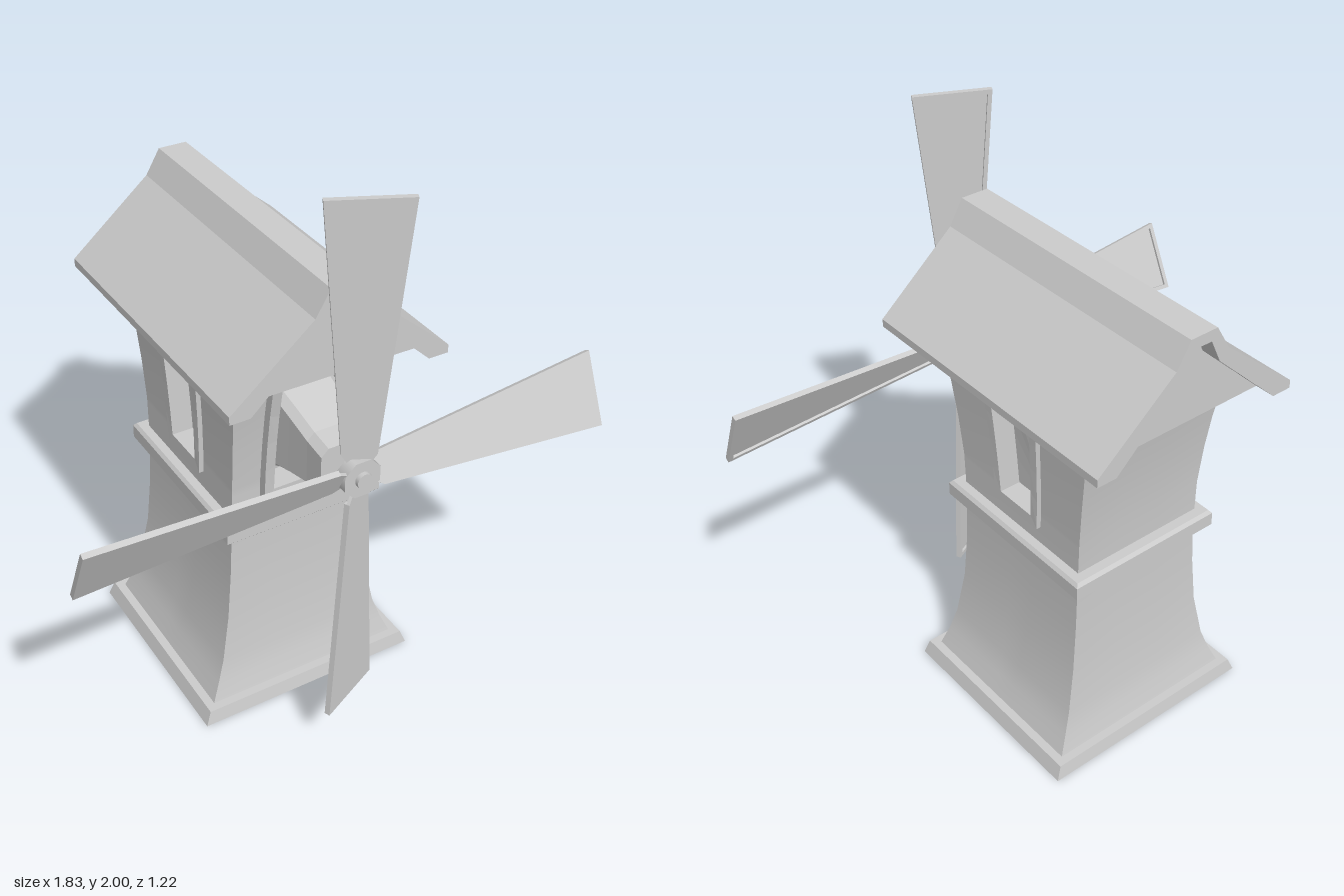
import * as THREE from 'three';

const V = (x, y, z) => new THREE.Vector3(x, y, z);
const grey = new THREE.MeshStandardMaterial({ color: 0xcccccc });
const TOWER_Z = -0.08;

// Tower outline: [height, half width, half depth]
const PROFILE = [
  [0.05, 0.36, 0.35], [0.12, 0.33, 0.332], [0.2, 0.303, 0.318], [0.37, 0.272, 0.302], [0.55, 0.257, 0.296],
  [0.72, 0.25, 0.294], [0.9, 0.249, 0.3], [1.05, 0.254, 0.316], [1.18, 0.261, 0.335], [1.31, 0.27, 0.36],
];

function halfAt(y, col) {
  let i = 0;
  while (i < PROFILE.length - 2 && y > PROFILE[i + 1][0]) i++;
  const a = PROFILE[i], b = PROFILE[i + 1];
  return a[col] + (b[col] - a[col]) * (y - a[0]) / (b[0] - a[0]);
}

// Point on tower wall k (0 front, 1 left, 2 back, 3 right), u across, out along the normal
function wallPoint(k, u, y, out = 0) {
  const p = V(u, y, halfAt(y, k % 2 ? 1 : 2) + out);
  return p.applyAxisAngle(V(0, 1, 0), k * Math.PI / 2).add(V(0, 0, TOWER_Z));
}

function named(name, geometry, material = grey) {
  const m = new THREE.Mesh(geometry, material);
  m.name = name;
  return m;
}

// Flat-faced skin over a list of rings, with fans closing the ends
function loft(rings, capStart = true) {
  const pts = [];
  const n = rings[0].length;
  for (let i = 0; i < rings.length - 1; i++) {
    for (let j = 0; j < n; j++) {
      const a = rings[i][j], b = rings[i][(j + 1) % n], c = rings[i + 1][(j + 1) % n], d = rings[i + 1][j];
      pts.push(a, b, c, a, c, d);
    }
  }
  const first = rings[0], last = rings[rings.length - 1];
  for (let j = 1; j < n - 1; j++) {
    pts.push(last[0], last[j], last[j + 1]);
    if (capStart) pts.push(first[0], first[j + 1], first[j]);
  }
  const g = new THREE.BufferGeometry().setFromPoints(pts);
  g.computeVertexNormals();
  return g;
}

// Stack of rectangles around the tower axis: [height, half width, half depth]
function rectStack(rows) {
  return loft(rows.map(([y, x, z]) =>
    [[x, z], [x, -z], [-x, -z], [-x, z]].map(([a, b]) => V(a, y, b + TOWER_Z))));
}

// Wall of the tower, smooth along its height, with an optional window opening
function wall(k, win) {
  const ys = PROFILE.map(r => r[0]);
  if (win) ys.push(win.y0, win.y1);
  ys.sort((a, b) => a - b);
  const pts = [], idx = [];
  ys.forEach((y, i) => {
    const h = halfAt(y, k % 2 ? 2 : 1);
    const w = win ? win.half(y) : h / 3;
    for (const u of [-h, -w, w, h]) pts.push(wallPoint(k, u, y));
    if (i === 0) return;
    const mid = (y + ys[i - 1]) / 2;
    for (let c = 0; c < 3; c++) {
      if (win && c === 1 && mid > win.y0 && mid < win.y1) continue;
      const a = (i - 1) * 4 + c;
      idx.push(a, a + 1, a + 5, a, a + 5, a + 4);
    }
  });
  const g = new THREE.BufferGeometry().setFromPoints(pts);
  g.setIndex(idx);
  g.computeVertexNormals();
  return g;
}

// Raised window surround with a recessed pane
function windowFrame(k, win) {
  const ring = (dx, dBottom, dTop, out) => {
    const pts = [], n = 4, y0 = win.y0 - dBottom, y1 = win.y1 + dTop;
    for (let i = 0; i <= n; i++) {
      const y = y0 + (y1 - y0) * i / n;
      pts.push(wallPoint(k, win.half(y) + dx, y, out));
    }
    for (let i = n; i >= 0; i--) {
      const y = y0 + (y1 - y0) * i / n;
      pts.push(wallPoint(k, -win.half(y) - dx, y, out));
    }
    return pts;
  };
  const b = win.border;
  return loft([ring(b, 0.037, 0.025, -0.005), ring(b, 0.037, 0.025, win.out),
    ring(0, 0, 0, win.out), ring(0, 0, 0, -0.06)], false);
}

// Gabled roof shell and the gable filling
function addRoof(group) {
  const outer = [[0.38, 1.34], [0.38, 1.368], [0.1, 1.605], [0.05, 1.69]];
  const inner = [[0.31, 1.34], [0.068, 1.57], [0.03, 1.652]];
  const flip = list => list.map(([x, y]) => [-x, y]).reverse();
  const shape = list => new THREE.Shape(list.map(([x, y]) => new THREE.Vector2(x, y)));
  const extrude = (list, z0, z1) =>
    new THREE.ExtrudeGeometry(shape(list), { depth: z1 - z0, bevelEnabled: false }).translate(0, 0, z0);
  group.add(named('roof', extrude([...outer, ...flip(outer), ...flip(inner).reverse(), ...inner.slice().reverse()], -0.61, 0.45)));
  group.add(named('gable', extrude([...inner, ...flip(inner)], -0.54, 0.38)));
}

// Flaring shaft housing with chamfered corners: [z, bottom, top, half width]
function housing() {
  const c = 0.025;
  return loft([[0.17, 0.91, 1.265, 0.112], [0.24, 0.945, 1.245, 0.11], [0.32, 0.965, 1.22, 0.105],
    [0.42, 0.985, 1.188, 0.1], [0.5, 0.992, 1.177, 0.1]].map(([z, b, t, h]) => [
    [h, b + c], [h, t - c], [h - c, t], [c - h, t], [-h, t - c], [-h, b + c], [c - h, b], [h - c, b],
  ].map(([x, y]) => V(x, y, z))));
}

// One sail: thin tapered plate with a raised rim on its back
function sail() {
  const g = new THREE.Group();
  g.name = 'sail';
  const stations = [[0.04, 0.03], [0.08, 0.055], [0.915, 0.127]];
  const bar = (rows, z0, z1) => loft(rows.map(([x, y0, y1]) =>
    [V(x, y0, z0), V(x, y1, z0), V(x, y1, z1), V(x, y0, z1)]));
  g.add(named('sailPlate', bar(stations.map(([x, h]) => [x, -h, h]), -0.003, 0.007)));
  for (const s of [-1, 1]) {
    const rows = stations.slice(1).map(([x, h]) => s > 0 ? [x, h - 0.014, h] : [x, -h, 0.014 - h]);
    g.add(named('sailRim', bar(rows, -0.012, -0.003)));
  }
  g.add(named('sailTipRim', bar([[0.9, -0.112, 0.112], [0.915, -0.113, 0.113]], -0.012, -0.003)));
  return g;
}

export function createModel() {
  const model = new THREE.Group();
  model.name = 'windmill';

  // Tower body with one front and two side windows
  const side = { y0: 0.885, y1: 1.285, half: y => 0.078 + 0.05 * (y - 0.885), border: 0.032, out: 0.016 };
  const front = { y0: 0.872, y1: 1.28, half: y => 0.113 + 0.01 * (y - 0.872), border: 0.034, out: 0.03 };
  [front, side, null, side].forEach((win, k) => {
    model.add(named('towerWall', wall(k, win)));
    if (win) model.add(named('windowFrame', windowFrame(k, win)));
  });

  // Plinth, belt course and soffit
  model.add(named('plinth', rectStack([[0, 0.41, 0.39], [0.05, 0.39, 0.38]])));
  model.add(named('belt', rectStack([[0.712, 0.28, 0.33], [0.722, 0.29, 0.34], [0.77, 0.29, 0.34], [0.782, 0.28, 0.33]])));
  model.add(named('soffit', rectStack([[1.305, 0.27, 0.36], [1.342, 0.37, 0.46]])));
  addRoof(model);
  model.add(named('shaftHousing', housing()));

  // Rotor: hub, shaft and four pitched sails
  const rotor = new THREE.Group();
  rotor.name = 'rotor';
  rotor.position.set(0, 1.085, 0.55);
  const disc = (name, r, z0, z1, sides) => named(name, new THREE.CylinderGeometry(r, r, z1 - z0, sides)
    .rotateY(Math.PI / sides).rotateX(Math.PI / 2).translate(0, 0, (z0 + z1) / 2));
  rotor.add(disc('shaft', 0.027, -0.06, 0.04, 16), disc('hub', 0.068, -0.02, 0.025, 8));
  for (let k = 0; k < 4; k++) {
    const arm = new THREE.Group();
    arm.name = 'sailArm';
    arm.rotation.z = k * Math.PI / 2;
    const s = sail();
    s.rotation.x = -0.44;
    arm.add(s);
    rotor.add(arm);
  }
  model.add(rotor);
  return model;
}
